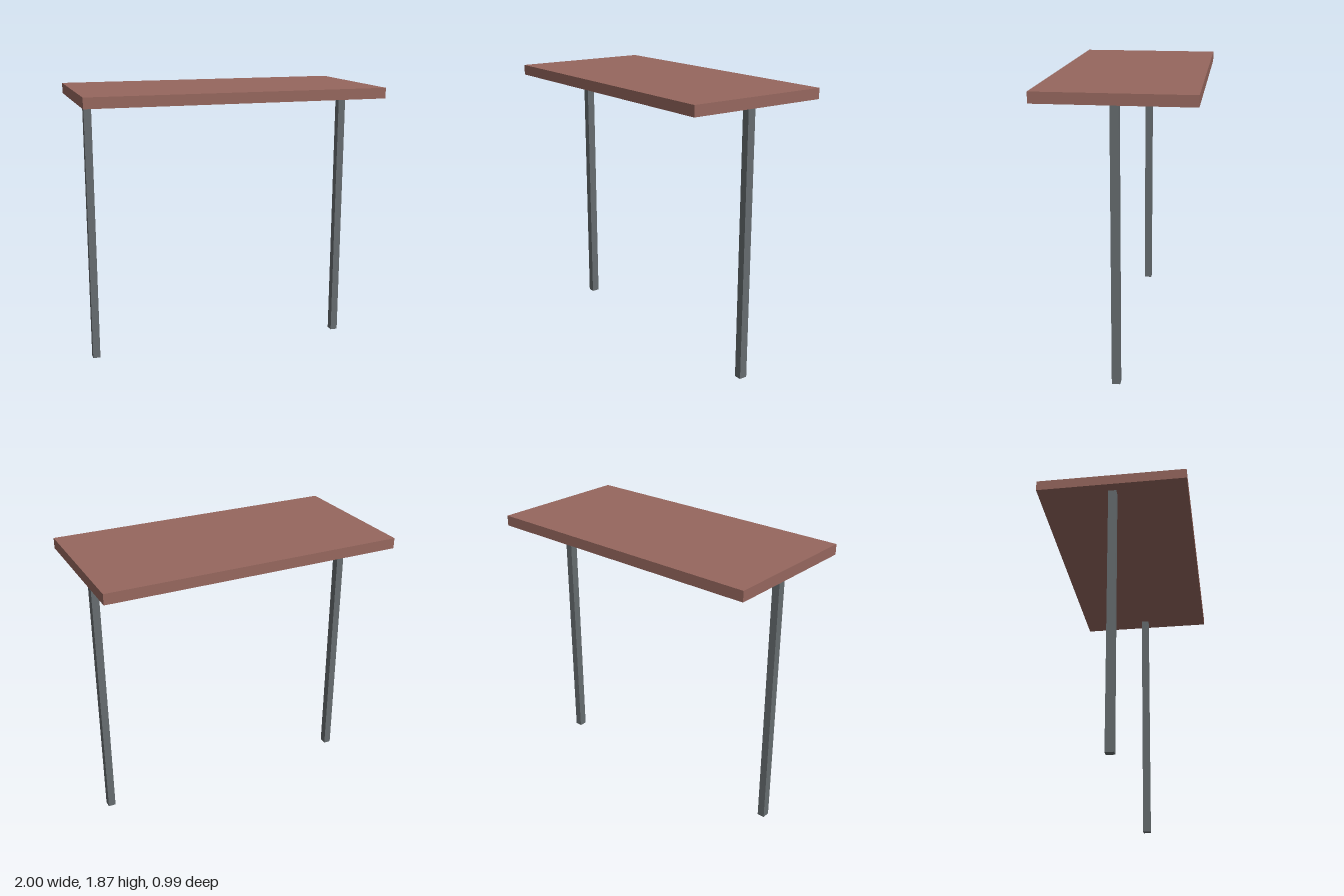
import * as THREE from 'three';

export function createModel() {
  const model = new THREE.Group();
  model.name = 'table';
  const wood = new THREE.MeshStandardMaterial({ color: 0x96675e });
  const metal = new THREE.MeshStandardMaterial({ color: 0x666c6f });

  const height = 1.87, thickness = 0.07;
  const legHeight = height - thickness;

  const addBox = (name, size, position, material) => {
    const mesh = new THREE.Mesh(new THREE.BoxGeometry(...size), material);
    mesh.name = name;
    mesh.position.set(...position);
    model.add(mesh);
  };

  // Flat rectangular top
  addBox('tabletop', [2, thickness, 0.985], [0, height - thickness / 2, 0], wood);

  // One square post under each end, on the centre line
  for (const [name, side] of [['leftLeg', 1], ['rightLeg', -1]]) {
    addBox(name, [0.05, legHeight, 0.054], [side * 0.907, legHeight / 2, 0], metal);
  }

  return model;
}
